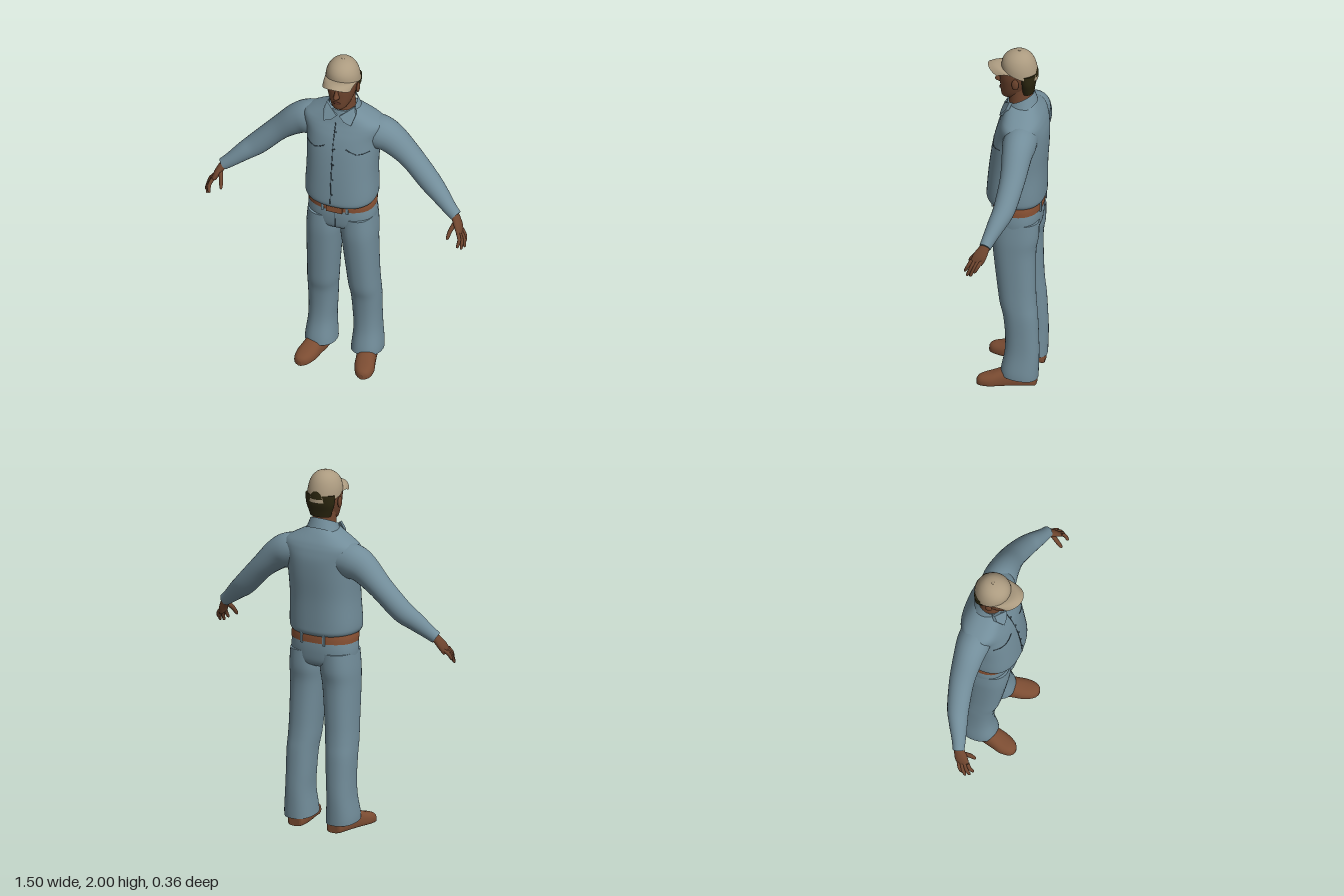
import * as THREE from 'three';
import { ConvexGeometry } from 'three/addons/geometries/ConvexGeometry.js';

const V = (x, y, z) => new THREE.Vector3(x, y, z);
const mat = (name, color, side = THREE.FrontSide) => {
  const m = new THREE.MeshStandardMaterial({ color, side });
  m.name = name;
  return m;
};

// Smoothly resample rows of numbers along their order
function dense(rows, n = 5) {
  const out = [], last = rows.length - 1;
  for (let s = 0; s <= last * n; s++) {
    const i = Math.min(Math.floor(s / n), last - 1), t = s / n - i;
    const [p0, p1, p2, p3] = [-1, 0, 1, 2].map((k) => rows[Math.min(Math.max(i + k, 0), last)]);
    out.push(p1.map((b, k) => {
      const m1 = (p2[k] - p0[k]) / 2, m2 = (p3[k] - b) / 2, d = p2[k] - b;
      return b + t * (m1 + t * (3 * d - 2 * m1 - m2 + t * (m1 + m2 - 2 * d)));
    }));
  }
  return out;
}

// Skin a list of equal rings, with optional flat ends
function loft(rings, caps = true) {
  const n = rings[0].length, pos = [], idx = [];
  rings.forEach((r) => r.forEach((p) => pos.push(p.x, p.y, p.z)));
  for (let j = 0; j < rings.length - 1; j++) {
    for (let i = 0; i < n; i++) {
      const a = j * n + i, b = j * n + (i + 1) % n;
      idx.push(a, b, b + n, a, b + n, a + n);
    }
  }
  if (caps) [rings[0], rings[rings.length - 1]].forEach((r, end) => {
    const base = pos.length / 3, c = V(0, 0, 0);
    r.forEach((p) => { pos.push(p.x, p.y, p.z); c.addScaledVector(p, 1 / n); });
    pos.push(c.x, c.y, c.z);
    for (let i = 0; i < n; i++) {
      const a = base + i, b = base + (i + 1) % n;
      idx.push(base + n, end ? a : b, end ? b : a);
    }
  });
  const g = new THREE.BufferGeometry();
  g.setAttribute('position', new THREE.Float32BufferAttribute(pos, 3));
  g.setIndex(idx);
  g.computeVertexNormals();
  return g;
}

// Superellipse points as unit [cos, sin] pairs
const oval = (e, n) => Array.from({ length: n }, (_, i) => {
  const a = (i / n) * Math.PI * 2, f = (v) => Math.sign(v) * Math.abs(v) ** (2 / e);
  return [f(Math.cos(a)), f(Math.sin(a))];
});

// Upright body from rising rows [y, x0, x1, z0, z1]; tilt drops y towards the front
function column(rows, e = 2.2, { n = 36, caps = true, tilt = () => 0 } = {}) {
  return loft(dense(rows).map(([y, x0, x1, z0, z1]) => oval(e, n).map(([c, s]) => {
    const z = (z0 + z1) / 2 + c * (z1 - z0) / 2;
    return V((x0 + x1) / 2 + s * (x1 - x0) / 2, y + tilt(y, z), z);
  })), caps);
}

// Front surface z of a symmetric column
function frontZ(rows, e, x, y) {
  const d = dense(rows, 10), r = d.find((q) => q[0] >= y) || d[d.length - 1];
  const k = Math.max(0, 1 - Math.abs(x / r[2]) ** e) ** (1 / e);
  return (r[3] + r[4]) / 2 + k * (r[4] - r[3]) / 2;
}

// Limb along rows [x, y, z, radius across z, radius in the xy plane]
function limb(rows, n = 20, steps = 5) {
  const d = dense(rows, steps), p = d.map((r) => V(r[0], r[1], r[2]));
  return loft(d.map((r, i) => {
    const dir = p[Math.min(i + 1, d.length - 1)].clone().sub(p[Math.max(i - 1, 0)]).normalize();
    const u = V(0, 0, 1).addScaledVector(dir, -dir.z).normalize(), v = dir.clone().cross(u);
    return oval(2, n).map(([c, s]) => p[i].clone().addScaledVector(u, c * r[3]).addScaledVector(v, s * r[4]));
  }));
}

function mirrored(geo) {
  const g = geo.clone().scale(-1, 1, 1), a = g.index.array;
  for (let i = 0; i < a.length; i += 3) [a[i], a[i + 1]] = [a[i + 1], a[i]];
  g.computeVertexNormals();
  return g;
}

const blob = (x, y, z, rx, ry, rz) => new THREE.SphereGeometry(1, 16, 12).scale(rx, ry, rz).translate(x, y, z);
const sym = (rows) => rows.map(([y, w, z0, z1]) => [y, -w, w, z0, z1]);

export function createModel() {
  const model = new THREE.Group();
  const denim = mat('denim', 0x728d9a, THREE.DoubleSide), seamBlue = mat('seam blue', 0x3c4d57);
  const skin = mat('skin', 0x70462f), lip = mat('lip', 0x5c3428), hairMat = mat('hair', 0x2b260f);
  const khaki = mat('khaki', 0xac9b80, THREE.DoubleSide);
  const beltMat = mat('belt leather', 0x8a5234), shoeMat = mat('shoe leather', 0x7b4c32);
  const add = (name, geo, m) => {
    const mesh = new THREE.Mesh(geo, m);
    mesh.name = name;
    model.add(mesh);
  };
  const pair = (name, geo, m) => { add(name + 'Left', geo, m); add(name + 'Right', mirrored(geo), m); };

  // Shirt body, slightly bloused over the belt
  const torso = sym([[1.095, .17, -.15, .13], [1.115, .193, -.167, .148], [1.16, .2, -.17, .15], [1.3, .195, -.172, .138],
    [1.43, .2, -.18, .12], [1.52, .207, -.18, .1], [1.575, .225, -.17, .08], [1.605, .22, -.16, .068],
    [1.63, .185, -.148, .06], [1.665, .12, -.125, .05], [1.69, .075, -.105, .042]]);
  add('shirtBody', column(torso, 2.4, { n: 48 }), denim);

  // Sleeves
  pair('sleeve', limb([[.12, 1.535, -.06, .09, .09], [.2, 1.525, -.06, .092, .098], [.27, 1.495, -.06, .082, .086],
    [.375, 1.405, -.057, .069, .066], [.49, 1.288, -.035, .06, .062], [.56, 1.232, -.008, .05, .052],
    [.625, 1.178, .02, .038, .04], [.668, 1.145, .035, .032, .034]], 24), denim);

  // Seams: front placket, buttons and pocket flaps
  const onChest = (x, y) => V(x, y, frontZ(torso, 2.4, x, y) + .001);
  const seam = (pts) => new THREE.TubeGeometry(new THREE.CatmullRomCurve3(pts, false, 'catmullrom', .1), 40, .0025, 5);
  add('placketSeam', seam([1.62, 1.55, 1.48, 1.4, 1.3, 1.2, 1.13].map((y) => onChest(-.012, y))), seamBlue);
  for (let i = 0; i < 5; i++) {
    const p = onChest(-.004, 1.57 - i * .095);
    add('button', blob(p.x, p.y, p.z, .005, .005, .003), seamBlue);
  }
  pair('pocketFlapSeam', seam([[.06, 1.485], [.09, 1.468], [.12, 1.455], [.15, 1.458], [.18, 1.465]]
    .map(([x, y]) => onChest(x, y))), seamBlue);

  // Collar band and its two points
  add('collar', column(sym([[1.655, .1, -.122, .058], [1.69, .086, -.112, .052], [1.718, .076, -.104, .046]]), 2,
    { caps: false, tilt: (y, z) => -.45 * (z + .03) }), denim);
  for (const s of [-1, 1]) {
    const pts = [[.008, 1.665, .056], [.08, 1.715, .012], [.092, 1.675, .03], [.078, 1.625, .068], [.035, 1.64, .066]];
    add('collarPoint', new ConvexGeometry(pts.flatMap(([x, y, z]) => [V(s * x, y, z - .012), V(s * x, y, z + .006)])), denim);
  }

  // Trousers: seat and legs with cuffs lower at the heel
  const seat = sym([[.915, .13, -.11, .07], [.94, .18, -.142, .1], [1, .19, -.152, .11], [1.06, .186, -.152, .11], [1.11, .178, -.145, .105]]);
  add('trouserSeat', column(seat, 2.4), denim);
  pair('trouserLeg', column([[.06, .045, .218, -.15, .055], [.1, .048, .217, -.152, .05], [.2, .055, .206, -.155, .032],
    [.3, .05, .203, -.152, .03], [.42, .043, .204, -.146, .042], [.5, .034, .202, -.138, .062], [.6, .026, .199, -.133, .076],
    [.8, .008, .197, -.132, .1], [.9, -.002, .196, -.146, .108], [1, .0, .188, -.148, .106]], 2.3,
  { tilt: (y, z) => .15 * z * Math.max(0, 1 - y / .25) }), denim);
  add('fly', new THREE.BoxGeometry(.005, .1, .004).translate(0, 1, .109), seamBlue);

  // Belt, buckle and loops
  const belt = sym([[1.058, .188, -.156, .115], [1.085, .189, -.156, .117], [1.112, .186, -.154, .115]]);
  add('belt', column(belt, 2.4), beltMat);
  add('buckle', new THREE.BoxGeometry(.09, .045, .012).translate(0, 1.075, .117), beltMat);
  for (const x of [-.07, .07]) {
    add('beltLoopFront', new THREE.BoxGeometry(.014, .06, .01).translate(x, 1.08, frontZ(belt, 2.4, x, 1.085)), denim);
    add('beltLoopBack', new THREE.BoxGeometry(.014, .06, .01).translate(x, 1.08, -.153), denim);
  }

  // Shoes, turned slightly outward: [z, centre x, half width, height]
  pair('shoe', loft(dense([[-.14, .122, .03, .05], [-.13, .123, .046, .08], [-.08, .128, .054, .1], [0, .143, .056, .1],
    [.05, .155, .056, .088], [.1, .166, .057, .07], [.145, .174, .046, .057], [.168, .177, .03, .045], [.178, .178, .01, .03]])
    .map(([z, cx, w, h]) => oval(2.4, 28).map(([c, s]) => V(cx + c * w, s < 0 ? h * .3 * (1 - Math.abs(s) ** .5) : h * (.3 + .7 * s), z)))), shoeMat);

  // Hands
  pair('palm', limb([[.65, 1.16, .028, .024, .024], [.672, 1.132, .042, .03, .022], [.692, 1.098, .06, .037, .019],
    [.705, 1.066, .076, .034, .014]]), skin);
  [[.738, 1.02, .078], [.741, 1, .1], [.729, .995, .12], [.712, 1.01, .135]].forEach(([x, y, z], i) => {
    const b = V(.703, 1.08, .047 + i * .018), t = V(x, y, z), m = b.clone().lerp(t, .5).add(V(.009, .005, 0));
    pair('finger', limb([[b.x, b.y, b.z, .01, .011], [m.x, m.y, m.z, .01, .01], [t.x, t.y + .006, t.z, .008, .008],
      [t.x, t.y, t.z, .002, .002]], 8, 3), skin);
  });
  pair('thumb', limb([[.675, 1.12, .058, .014, .013], [.658, 1.085, .095, .012, .012], [.65, 1.05, .12, .009, .009],
    [.648, 1.04, .126, .002, .002]], 8, 3), skin);

  // Neck, head and face
  add('neck', column(sym([[1.64, .07, -.1, .04], [1.7, .066, -.095, .035], [1.8, .062, -.095, .03]]), 2), skin);
  const head = sym([[1.712, .022, .0, .062], [1.725, .04, -.03, .075], [1.755, .058, -.07, .08], [1.8, .073, -.095, .083],
    [1.85, .083, -.108, .085], [1.9, .083, -.11, .078], [1.94, .07, -.09, .05]]);
  add('head', column(head, 2.15), skin);
  add('nose', column(sym([[1.8, .011, .06, .088], [1.811, .018, .06, .112], [1.835, .011, .06, .103], [1.872, .008, .06, .087]]), 2, { n: 16 }), skin);
  const face = (x, y) => frontZ(head, 2.15, x, y);
  pair('ear', blob(.088, 1.832, -.015, .009, .032, .02), skin);
  pair('eye', blob(.033, 1.852, face(.033, 1.852), .012, .004, .003), hairMat);
  pair('brow', blob(.034, 1.87, face(.034, 1.87), .018, .004, .004), hairMat);
  add('lips', blob(0, 1.769, face(0, 1.769), .024, .007, .005), lip);
  add('hair', column(sym([[1.755, .06, -.103, -.035], [1.79, .073, -.108, -.035], [1.83, .085, -.116, -.03], [1.88, .088, -.118, -.02]]), 2.3), hairMat);

  // Cap crown on a tilted rim
  const crown = (a, h) => {
    const r = Math.max(0, 1 - h ** 2.3) ** (1 / 2.3), z = -.024 + .1 * r * Math.cos(a);
    return V(.095 * r * Math.sin(a), 1.873 + .127 * h + .36 * (z + .024) * (1 - h), z);
  };
  const levels = [0, .15, .3, .45, .6, .72, .82, .9, .95, .985, .999];
  const around = Array.from({ length: 36 }, (_, i) => (i / 36) * Math.PI * 2);
  add('capCrown', loft(levels.map((h) => around.map((a) => crown(a, h)))), khaki);
  add('capButton', blob(0, 2, -.022, .008, .003, .008), khaki);

  // Curved brim, and the half-round opening above the back strap
  const sheet = (f, nu, nv) => {
    const g = new THREE.PlaneGeometry(1, 1, nu, nv), p = g.attributes.position;
    for (let i = 0; i < p.count; i++) p.setXYZ(i, ...f(p.getX(i) * 2, p.getY(i) + .5).toArray());
    g.computeVertexNormals();
    return g;
  };
  add('capBrim', sheet((u, v) => {
    const a = u * 1.35, s = Math.sin(a);
    const rim = crown(a, .02), tip = V(.082 * s, 1.906 - .036 * s * s, .04 + .11 * Math.sqrt(Math.max(0, 1 - .85 * s * s)));
    return rim.lerp(tip, v).add(V(0, .008 * Math.sin(v * Math.PI), 0));
  }, 24, 6), khaki);
  add('capBackOpening', sheet((u, v) => {
    const p = crown(Math.PI + u * .4, .13 + v * .27 * Math.sqrt(Math.max(0, 1 - u * u)));
    return p.add(V(p.x, 0, p.z + .024).multiplyScalar(.015));
  }, 16, 5).scale(1, 1, 1), Object.assign(hairMat, { side: THREE.DoubleSide }));

  return model;
}
